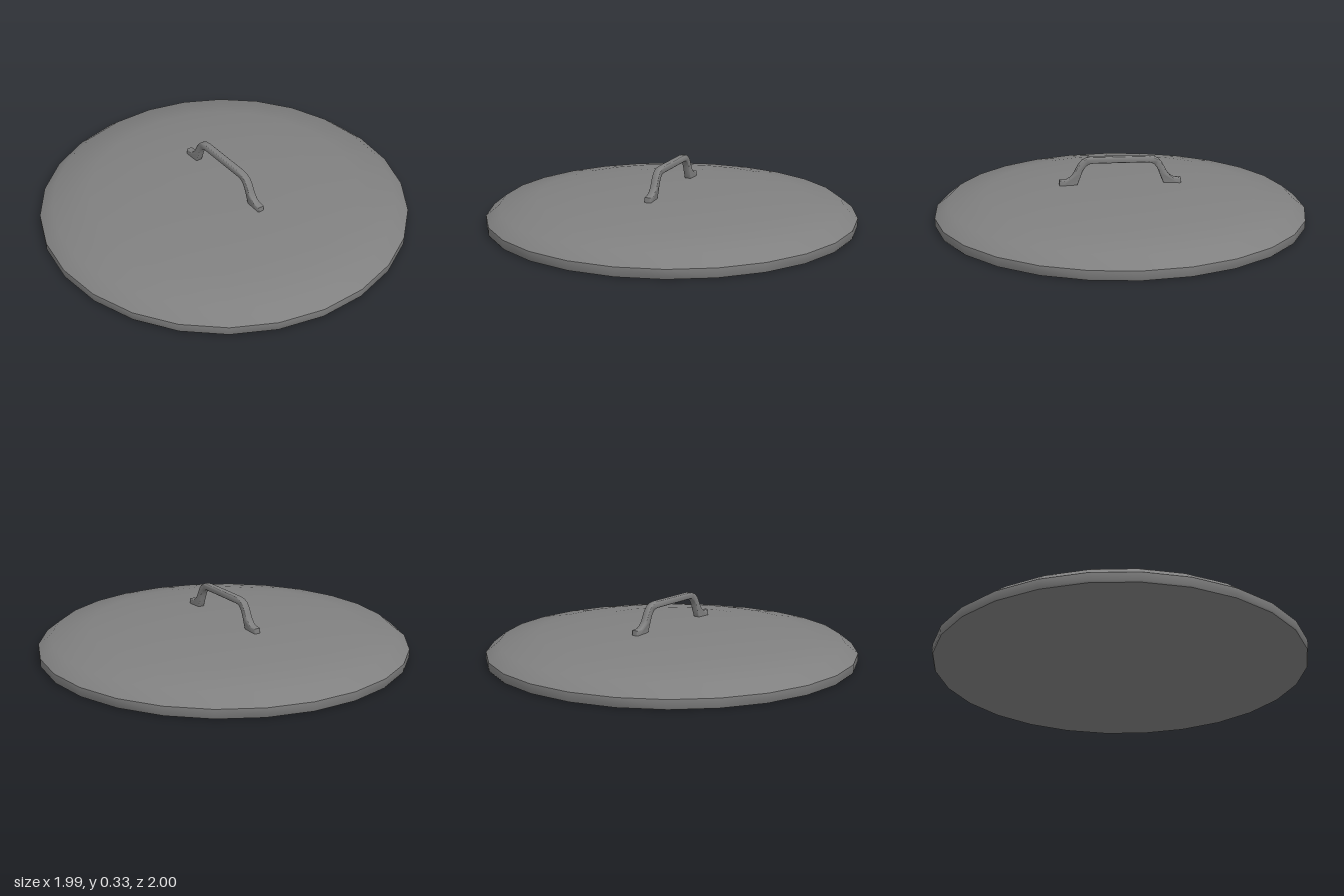
import * as THREE from 'three';
import { toCreasedNormals } from 'three/addons/utils/BufferGeometryUtils.js';

export function createModel() {
  const model = new THREE.Group();
  model.name = 'lid';
  const grey = new THREE.MeshStandardMaterial({ color: 0x808080 });
  grey.name = 'grey metal';

  const add = (name, geometry, crease) => {
    const mesh = new THREE.Mesh(toCreasedNormals(geometry, crease), grey);
    mesh.name = name;
    model.add(mesh);
  };

  // Shallow domed cover with a straight rim, a bevel and a closed flat underside
  const profile = [
    [0, 0], [0.995, 0], [1, 0.008], [1, 0.05], [0.93, 0.105], [0.73, 0.142],
    [0.5, 0.17], [0.25, 0.18], [0, 0.182],
  ].map(([r, y]) => new THREE.Vector2(r, y));
  add('cover', new THREE.LatheGeometry(profile, 26), 0.75);

  // Arched handle with flared feet: outline extruded with rounded edges
  const b = 0.007;
  const outline = new THREE.Shape();
  outline.moveTo(-0.33 + b, 0.17);
  outline.lineTo(-0.33 + b, 0.205 - b);
  outline.lineTo(-0.29, 0.208 - b);
  outline.bezierCurveTo(-0.22, 0.225, -0.245, 0.33 - b, -0.15, 0.33 - b);
  outline.lineTo(0.15, 0.33 - b);
  outline.bezierCurveTo(0.245, 0.33 - b, 0.22, 0.225, 0.29, 0.208 - b);
  outline.lineTo(0.33 - b, 0.205 - b);
  outline.lineTo(0.33 - b, 0.17);
  outline.lineTo(0.24 + b, 0.17);
  outline.bezierCurveTo(0.215, 0.22, 0.215, 0.295 + b, 0.15, 0.295 + b);
  outline.lineTo(-0.15, 0.295 + b);
  outline.bezierCurveTo(-0.215, 0.295 + b, -0.215, 0.22, -0.24 - b, 0.17);
  outline.closePath();

  const depth = 0.038 - 2 * b;
  const handle = new THREE.ExtrudeGeometry(outline, {
    depth, curveSegments: 8, bevelThickness: b, bevelSize: b, bevelSegments: 3,
  });
  handle.translate(0, 0, -depth / 2);
  add('handle', handle, 0.9);

  return model;
}
